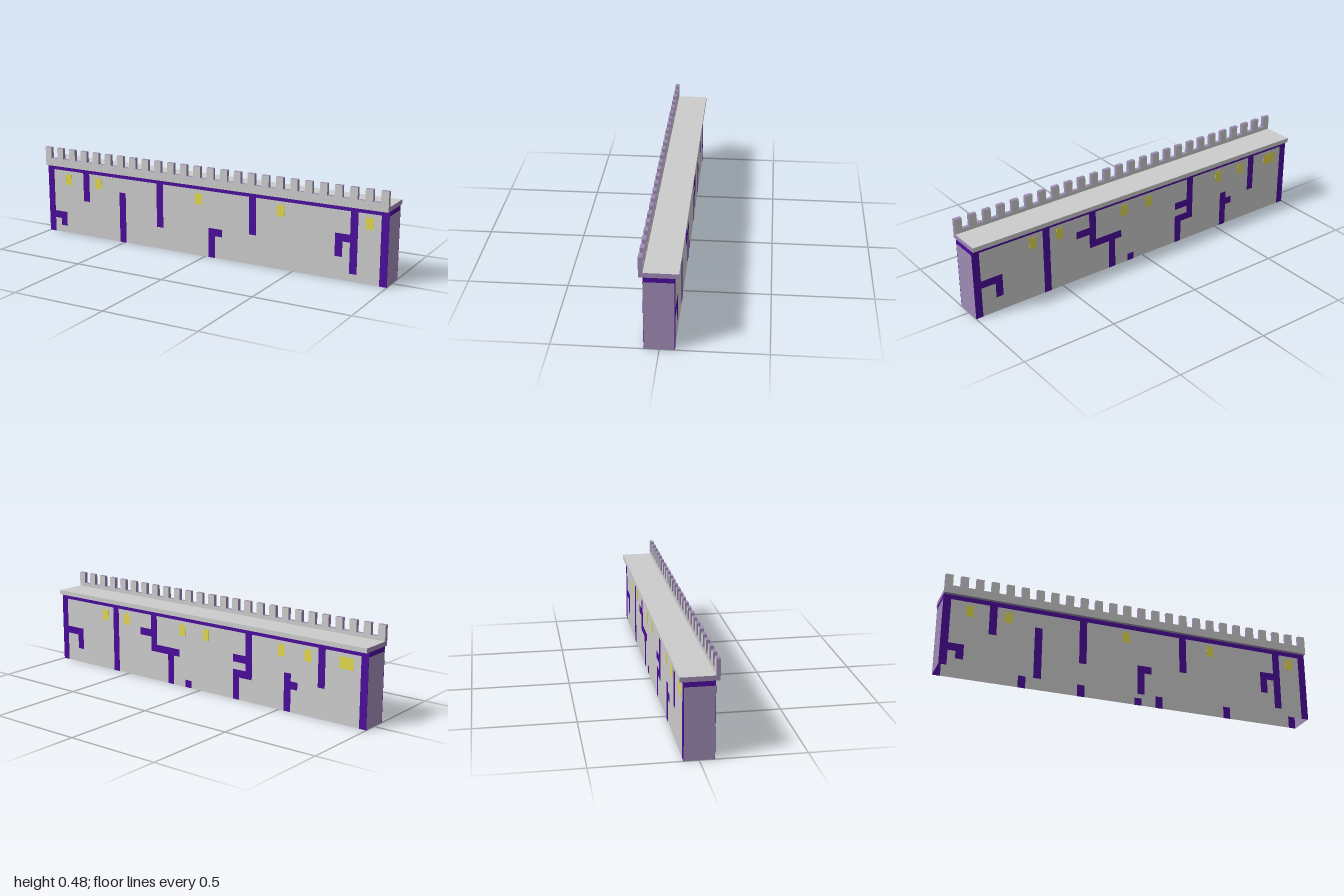
import * as THREE from 'three';

const U = 2 / 51;            // one grid cell: the wall is 51 cells long
const LEN = 51, HALF = 1.8;  // wall length and half depth, in cells
const STRIP = 9, DECK = 9.6, DECK_TOP = 10.2, SILL = 10.7, TOP = 12.2, OVERHANG = 2.3;

const mat = (color, side = THREE.DoubleSide) => new THREE.MeshStandardMaterial({ color, side });
const grey = mat(0xcccccc);
const lavender = mat(0x9d8ab2);
const purple = mat(0x4b0a9b);
const yellow = mat(0xe0d84a);

// Rectangles on each long face: [from, to, bottom, top] in cells, from that face's own left edge
const frontTrim = [
  [0, 1, 0, 9], [1, 3, 2, 3], [2, 3, 1, 2],
  [6, 7, 5, 9], [12, 13, 0, 7], [18, 19, 3, 9],
  [26, 27, 0, 4], [27, 28, 3, 4], [32, 33, 4, 9],
  [46, 47, 1, 9], [44, 46, 5, 6], [44, 45, 3, 5], [50, 51, 0, 9],
];
const backTrim = [
  [0, 1, 0, 9], [1, 4, 4, 5], [3, 4, 2, 4], [10, 11, 0, 9],
  [15, 17, 6, 7], [17, 18, 4, 9], [18, 22, 4, 5], [20, 21, 0, 4], [23, 24, 0, 1],
  [33, 34, 3, 9], [31, 33, 5, 6], [31, 33, 3, 4], [31, 32, 0, 3],
  [39, 40, 0, 5], [40, 41, 3, 4], [44, 45, 4, 9], [50, 51, 0, 9],
];
// Windows: [from, to]
const frontWindows = [[3, 4], [8, 9], [24, 25], [36, 37], [48, 49]];
const backWindows = [[8, 9], [12, 13], [22, 23], [26, 27], [38, 39], [42, 43], [47, 49]];

function add(parent, name, geometry, material, x = 0, y = 0, z = 0) {
  const mesh = new THREE.Mesh(geometry, material);
  mesh.name = name;
  mesh.position.set(x, y, z);
  parent.add(mesh);
  return mesh;
}

// One thin upright side with its band of trim along the top
function wallSide(name, width, material) {
  const side = new THREE.Group();
  side.name = name;
  add(side, 'wallPanel', new THREE.PlaneGeometry(width, STRIP), material, 0, STRIP / 2);
  add(side, 'topBand', new THREE.PlaneGeometry(width, DECK - STRIP), purple, 0, (STRIP + DECK) / 2);
  return side;
}

// Thin inlays that show on both the outer and the inner surface of a side
function inlay(side, name, [a, b, low, high], material) {
  add(side, name, new THREE.BoxGeometry(b - a, high - low, 0.05), material,
    (a + b - LEN) / 2, (low + high) / 2, 0);
}

export function createModel() {
  const model = new THREE.Group();
  model.name = 'battlementWall';
  const body = new THREE.Group();
  body.name = 'wall';
  body.scale.setScalar(U);
  model.add(body);

  // Long faces with trim and windows
  const faces = [
    ['frontFace', 0, frontTrim, frontWindows],
    ['backFace', Math.PI, backTrim, backWindows],
  ];
  for (const [name, turn, trim, windows] of faces) {
    const face = wallSide(name, LEN, grey);
    face.rotation.y = turn;
    face.position.z = HALF * Math.cos(turn);
    trim.forEach((r) => inlay(face, 'trim', r, purple));
    windows.forEach(([a, b]) => inlay(face, 'window', [a, b, 7, 8.5], yellow));
    body.add(face);
  }

  // End faces; the wall is open underneath
  for (const s of [1, -1]) {
    const end = wallSide(s > 0 ? 'leftEnd' : 'rightEnd', 2 * HALF, lavender);
    end.rotation.y = s * Math.PI / 2;
    end.position.x = s * LEN / 2;
    body.add(end);
  }

  // Walkway slab, overhanging at the back
  add(body, 'walkway',
    new THREE.BoxGeometry(LEN, DECK_TOP - DECK, OVERHANG + HALF),
    [lavender, lavender, grey, grey, grey, grey],
    0, (DECK + DECK_TOP) / 2, (HALF - OVERHANG) / 2);

  // Crenellated parapet along the front: 26 merlons, 25 gaps
  const outline = new THREE.Shape();
  outline.moveTo(LEN / 2, DECK);
  for (let i = 0; i < LEN; i++) {
    const y = i % 2 ? SILL : TOP;
    outline.lineTo(LEN / 2 - i, y);
    outline.lineTo(LEN / 2 - i - 1, y);
  }
  outline.lineTo(-LEN / 2, DECK);
  add(body, 'parapet',
    new THREE.ExtrudeGeometry(outline, { depth: OVERHANG - HALF, bevelEnabled: false }),
    [grey, lavender], 0, 0, HALF);

  return model;
}
